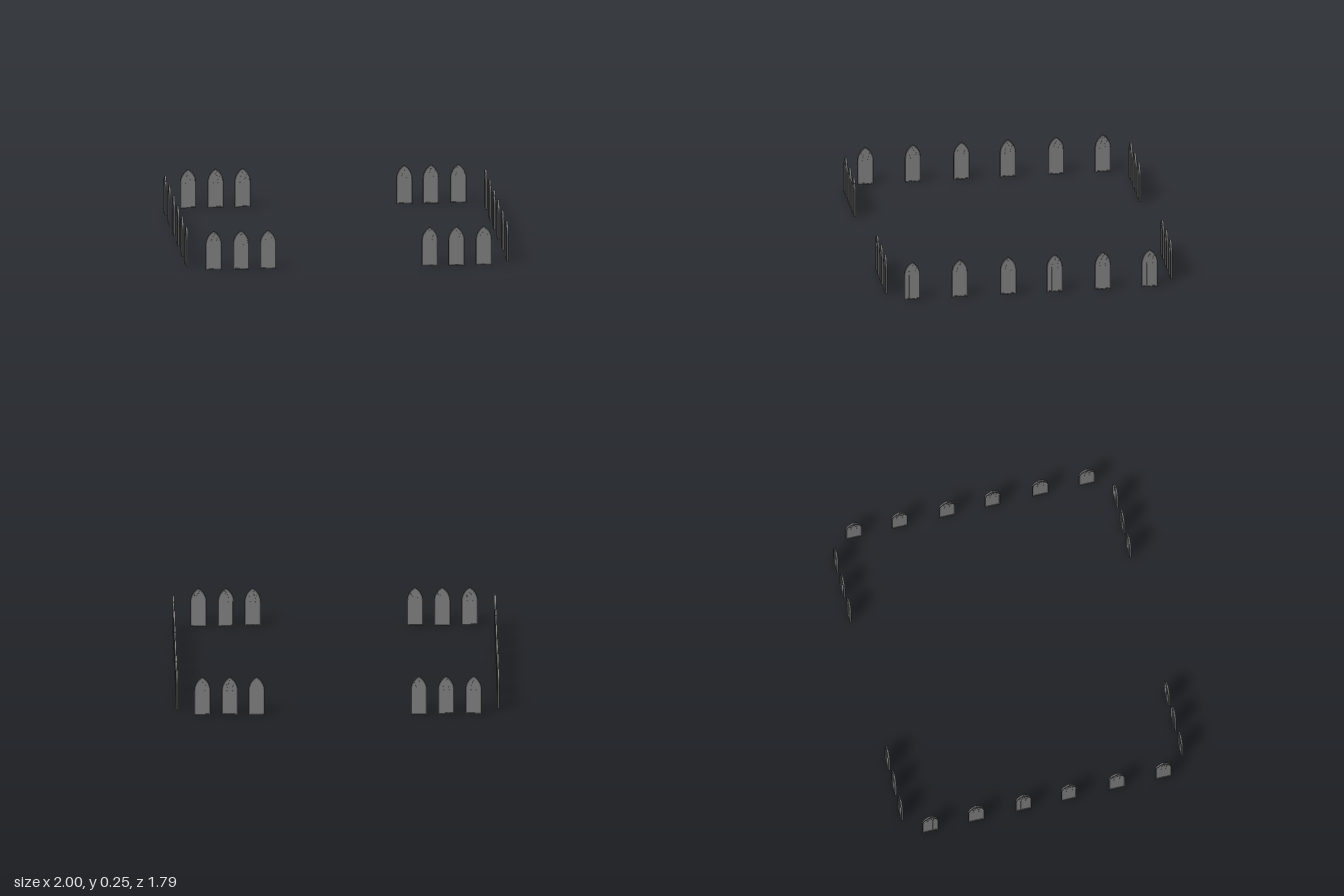
import * as THREE from 'three';
import { mergeGeometries } from 'three/addons/utils/BufferGeometryUtils.js';

const W = 0.05;        // half width of a window
const SPRING = 0.159;  // height where the pointed arch begins
const DEPTH = 0.013;
const RIM = 0.008;     // frame width

// Outline of a pointed arch, shrunk inwards by the inset
function archPath(PathType, inset) {
  const r = 2 * W - inset, a = Math.acos(W / r), p = new PathType();
  p.moveTo(-W + inset, inset);
  p.lineTo(W - inset, inset);
  p.lineTo(W - inset, SPRING);
  p.absarc(-W, SPRING, r, 0, a, false);
  p.absarc(W, SPRING, r, Math.PI - a, Math.PI, false);
  p.closePath();
  return p;
}

// Flat shape given thickness, centred on z = 0
function slab(shape, depth) {
  const g = new THREE.ExtrudeGeometry(shape, { depth, bevelEnabled: false, curveSegments: 10 });
  return g.translate(0, 0, -depth / 2);
}

// Pointed ring between two insets
function archRing(outer, inner, depth) {
  const shape = archPath(THREE.Shape, outer);
  shape.holes.push(archPath(THREE.Path, inner));
  return slab(shape, depth);
}

// Mullion bar with a capital, branching into two curved ribs that meet the frame
function mullion(m) {
  const t = 0.0015, R = 2 * W, height = SPRING - RIM / 2;
  const parts = [
    new THREE.BoxGeometry(2 * t, height, 0.008).translate(m, SPRING - height / 2, 0),
    new THREE.BoxGeometry(4 * t, 0.003, 0.01).translate(m, SPRING - 0.003, 0),
  ].map((g) => g.toNonIndexed());
  for (const s of [1, -1]) {
    const c = m - s * R, end = Math.acos((3 * W - s * m) / (4 * W));
    const from = s > 0 ? 0 : Math.PI, to = s > 0 ? end : Math.PI - end;
    const rib = new THREE.Shape();
    rib.absarc(c, SPRING, R + t, from, to, s < 0);
    rib.absarc(c, SPRING, R - t, to, from, s > 0);
    rib.closePath();
    parts.push(slab(rib, 0.008));
  }
  return mergeGeometries(parts);
}

export function createModel() {
  const model = new THREE.Group();
  model.name = 'archedWindows';
  const stone = new THREE.MeshStandardMaterial({ color: 0x585858 });
  const pane = new THREE.MeshStandardMaterial({ color: 0x808080 });

  // Stepped dark frame around a paler pane with three lights
  const parts = [
    ['frame', archRing(0, RIM / 2, DEPTH), stone],
    ['innerFrame', archRing(RIM / 2, RIM, 0.009), stone],
    ['glass', slab(archPath(THREE.Shape, RIM * 0.75), 0.004), pane],
    ['tracery', mergeGeometries([mullion(-W / 3), mullion(W / 3)]), pane],
  ];

  function addWindow(name, x, z, turn) {
    const win = new THREE.Group();
    win.name = name;
    for (const [part, geometry, material] of parts) {
      const mesh = new THREE.Mesh(geometry, material);
      mesh.name = part;
      win.add(mesh);
    }
    win.position.set(x, 0, z);
    win.rotation.y = turn;
    model.add(win);
  }

  for (const s of [1, -1]) {
    // Front and back rows: three windows on each side of a wide gap
    for (const x of [-0.838, -0.668, -0.5, 0.503, 0.668, 0.838])
      addWindow(s > 0 ? 'frontWindow' : 'backWindow', x, s * 0.89, s > 0 ? 0 : Math.PI);
    // Side rows: six evenly spaced windows
    for (const z of [-0.738, -0.446, -0.145, 0.145, 0.448, 0.745])
      addWindow(s > 0 ? 'leftWindow' : 'rightWindow', s * (1 - DEPTH / 2), z, s * Math.PI / 2);
  }
  return model;
}
